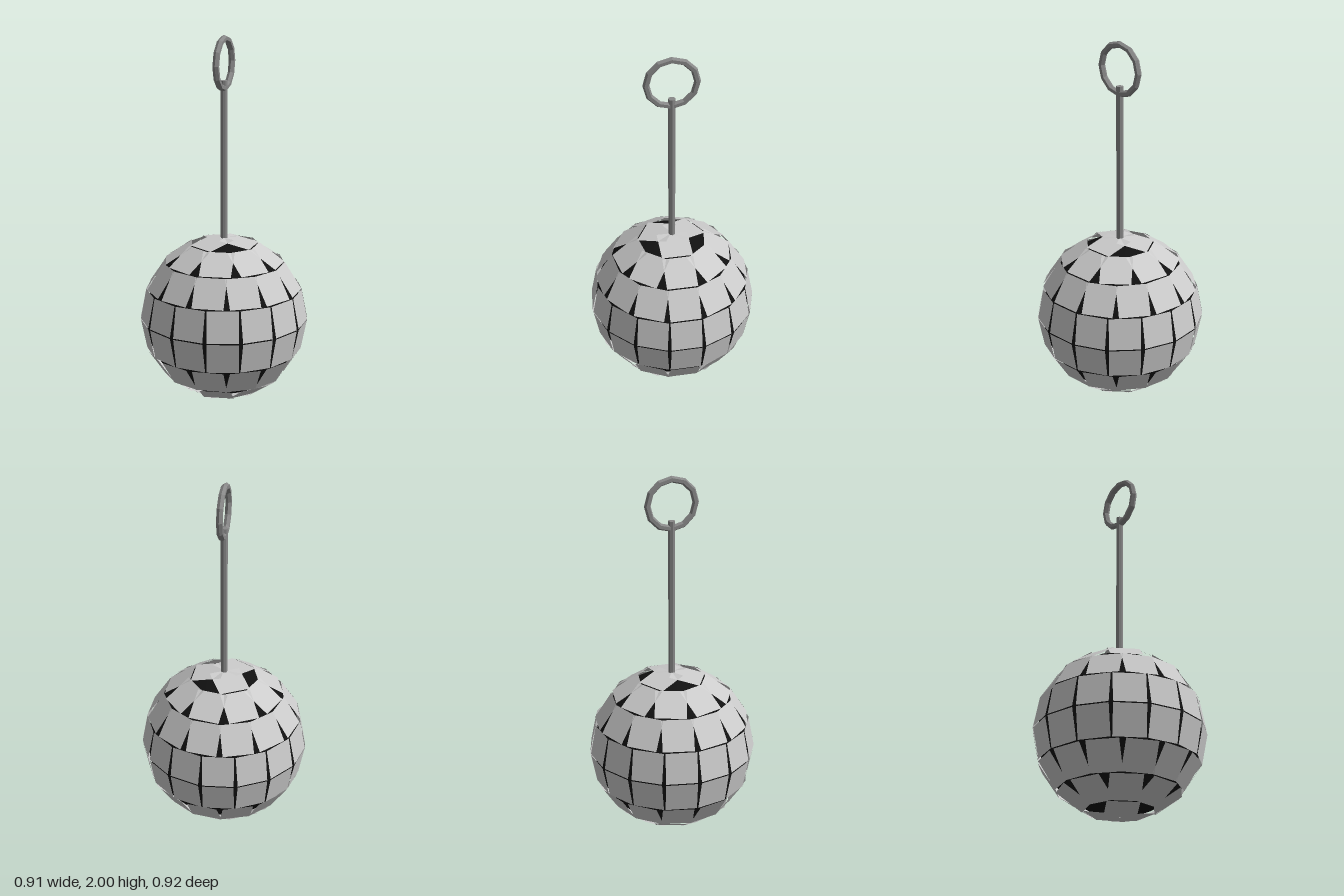
import * as THREE from 'three';

export function createModel() {
  const model = new THREE.Group();
  model.name = 'mirrorBall';
  const centreY = 0.451;

  const mirror = new THREE.MeshStandardMaterial({ color: 0xcccccc, flatShading: true, side: THREE.DoubleSide });
  const dark = new THREE.MeshStandardMaterial({ color: 0x111111 });
  const metal = new THREE.MeshStandardMaterial({ color: 0x888888, flatShading: true });

  const add = (name, geometry, material, y) => {
    const mesh = new THREE.Mesh(geometry, material);
    mesh.name = name;
    mesh.position.y = y;
    model.add(mesh);
    return mesh;
  };

  // Dark core seen between the tiles
  add('core', new THREE.SphereGeometry(0.43, 32, 20), dark, centreY);

  // Square mirror tiles: four rows per hemisphere, fewer tiles towards the poles
  const tiles = new THREE.Group();
  tiles.name = 'mirrorTiles';
  const tileGeometry = new THREE.PlaneGeometry(0.17, 0.17);
  const distance = 0.444;
  [15, 13, 9, 3].forEach((count, row) => {
    const latitude = (row + 0.5) * Math.PI / 8;
    for (const side of [1, -1]) {
      for (let i = 0; i < count; i++) {
        const a = i / count * Math.PI * 2;
        const tile = new THREE.Mesh(tileGeometry, mirror);
        tile.name = 'mirrorTile';
        tile.position.set(
          Math.cos(latitude) * Math.cos(a),
          side * Math.sin(latitude),
          Math.cos(latitude) * Math.sin(a)
        ).multiplyScalar(distance);
        tile.lookAt(tile.position.clone().multiplyScalar(2));
        tiles.add(tile);
      }
    }
  });
  tiles.position.y = centreY;
  model.add(tiles);

  // Hanging rod
  add('rod', new THREE.CylinderGeometry(0.019, 0.019, 0.9, 8), metal, 1.31);

  // Ring at the top, lying in the side plane
  const ring = add('hangingRing', new THREE.TorusGeometry(0.132, 0.018, 6, 12), metal, 1.85);
  ring.rotation.y = Math.PI / 2;

  return model;
}
